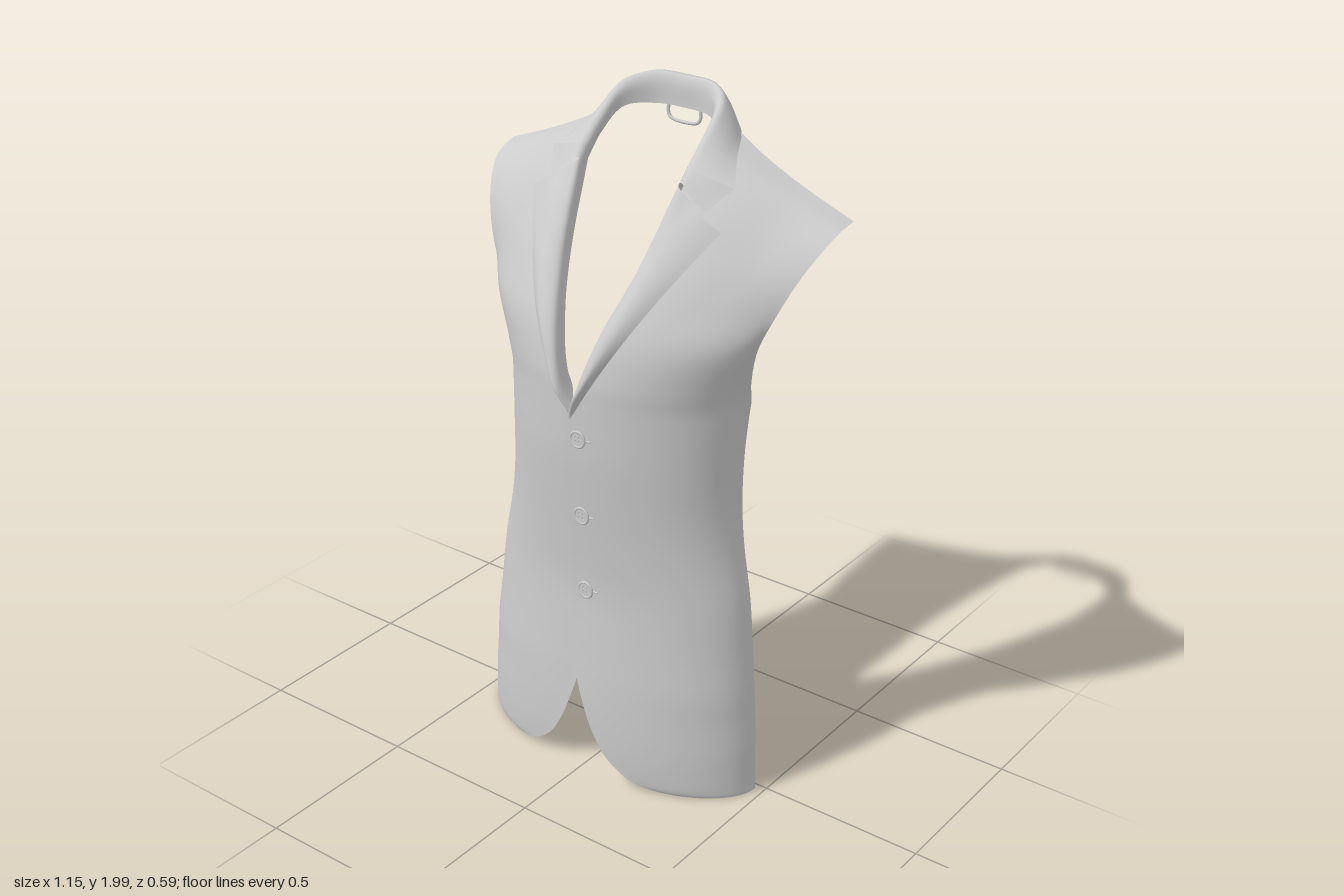
import * as THREE from 'three';

const material = new THREE.MeshStandardMaterial({ color: 0xcccccc, side: THREE.DoubleSide, roughness: 0.8 });
const V = (p) => new THREE.Vector3(...p);

// Smooth surface through rows of points
function loft(name, rows, nu, nv) {
  const across = rows.map((r) => new THREE.CatmullRomCurve3(r.map(V)).getSpacedPoints(nu));
  const positions = [], index = [];
  for (let i = 0; i <= nu; i++) {
    const column = new THREE.CatmullRomCurve3(across.map((r) => r[i]));
    for (const p of column.getPoints(nv)) positions.push(p.x, p.y, p.z);
  }
  for (let i = 0; i < nu; i++) {
    for (let j = 0; j < nv; j++) {
      const a = i * (nv + 1) + j, b = a + nv + 1;
      index.push(a, b, a + 1, b, b + 1, a + 1);
    }
  }
  const geometry = new THREE.BufferGeometry();
  geometry.setAttribute('position', new THREE.Float32BufferAttribute(positions, 3));
  geometry.setIndex(index);
  geometry.computeVertexNormals();
  const mesh = new THREE.Mesh(geometry, material);
  mesh.name = name;
  return mesh;
}

// Mirror in x; tuck pushes the part back near the middle, under the other front
const mirrorRows = (rows, tuck = 0) => rows.map((r) => r.map(([x, y, z]) =>
  [-x, y, z - tuck * Math.max(0, 1 - Math.abs(x) / 0.3)]));

// Body levels: height, front edge x, side x, front z, side z, flatness of the side
const levels = [
  [0.01, 0.3, 0.473, 0.25, 0.02, 1.05],
  [0.018, 0.235, 0.473, 0.255, 0.02, 1.05],
  [0.035, 0.18, 0.472, 0.26, 0.02, 1.05],
  [0.09, 0.11, 0.47, 0.264, 0.02, 1.05],
  [0.16, 0.065, 0.468, 0.265, 0.018, 1.05],
  [0.25, 0.028, 0.462, 0.263, 0.015, 1.05],
  [0.34, 0.0, 0.455, 0.258, 0.012, 1.0],
  [0.45, -0.02, 0.443, 0.25, 0.006, 1.0],
  [0.62, -0.024, 0.422, 0.24, -0.003, 0.95],
  [0.78, -0.024, 0.388, 0.248, -0.015, 0.92],
  [0.9, -0.022, 0.373, 0.257, -0.022, 0.92],
  [1.05, -0.02, 0.373, 0.267, -0.026, 0.98],
  [1.17, -0.004, 0.382, 0.268, -0.03, 1.06],
  [1.22, 0.014, 0.388, 0.268, -0.03, 1.1],
  [1.28, 0.042, 0.4, 0.266, -0.008, 1.18],
  [1.4, 0.085, 0.438, 0.24, 0.022, 1.32],
];

function panelRows() {
  const rows = levels.map(([y, xi, xs, zf, ze, flat]) => {
    const start = Math.asin(xi / xs), row = [];
    for (let k = 0; k <= 8; k++) {
      const a = start + (Math.PI / 2 - start) * k / 8;
      row.push([xs * Math.sin(a), y, ze + (zf - ze) * Math.pow(Math.max(0, Math.cos(a)), flat)]);
    }
    return row;
  });
  // Upper chest and shoulder
  rows.push(
    [[0.122, 1.515, 0.182], [0.24, 1.508, 0.152], [0.37, 1.5, 0.088], [0.48, 1.495, 0.012]],
    [[0.158, 1.65, 0.098], [0.29, 1.635, 0.064], [0.42, 1.62, 0.008], [0.527, 1.605, -0.032]],
    [[0.172, 1.785, 0.0], [0.29, 1.745, -0.012], [0.43, 1.705, -0.06], [0.563, 1.685, -0.1]],
    [[0.18, 1.865, -0.1], [0.295, 1.815, -0.1], [0.43, 1.762, -0.13], [0.573, 1.713, -0.155]],
    [[0.18, 1.905, -0.215], [0.29, 1.845, -0.203], [0.42, 1.785, -0.2], [0.576, 1.724, -0.2]],
  );
  return rows;
}

export function createModel() {
  const group = new THREE.Group();
  const rows = panelRows();
  const leftPanel = loft('leftFrontPanel', rows, 32, 100);
  group.add(leftPanel, loft('rightFrontPanel', mirrorRows(rows, 0.01), 32, 100));

  // Depth of the panel surface under a point of the front
  leftPanel.updateMatrixWorld();
  const ray = new THREE.Raycaster();
  const depth = (x, y) => {
    ray.set(new THREE.Vector3(x, y, 1), new THREE.Vector3(0, 0, -1));
    const hit = ray.intersectObject(leftPanel)[0];
    return hit ? hit.point.z : 0.26;
  };

  // Lapels: lie on the panel between the roll line and the outer edge
  const roll = new THREE.CatmullRomCurve3([[-0.004, 1.18, 0.272], [0.035, 1.28, 0.284],
    [0.08, 1.43, 0.236], [0.126, 1.58, 0.146], [0.166, 1.795, 0.016]].map(V));
  const edge = new THREE.CatmullRomCurve3([[0.004, 1.165, 0], [0.075, 1.285, 0],
    [0.15, 1.415, 0], [0.232, 1.56, 0], [0.313, 1.697, 0]].map(V));
  const lapelRows = [];
  for (let i = 0; i <= 12; i++) {
    const a = roll.getPoint(i / 12), b = edge.getPoint(i / 12);
    const open = Math.min(1, i / 2);
    const puff = open * (0.026 - 0.014 * i / 12);
    const row = [[a.x + 0.003 * open, a.y, a.z - 0.045 * open], [a.x + 0.004 * open, a.y, a.z]];
    for (const s of [0.35, 0.6, 0.8, 1]) {
      const x = a.x + (b.x - a.x) * s, y = a.y + (b.y - a.y) * s;
      row.push([x, y, depth(x, y) + 0.01 + puff * Math.sin(Math.PI * s)]);
    }
    lapelRows.push(row);
  }
  group.add(loft('leftLapel', lapelRows, 24, 48),
    loft('rightLapel', mirrorRows(lapelRows, 0.014), 24, 48));

  // Collar: inner edge, fold and outer edge, from the nape to the collar point
  const half = [
    [[0, 1.91, -0.24], [0, 1.98, -0.243], [0, 2.0, -0.256], [0, 1.975, -0.272], [0, 1.91, -0.296]],
    [[0.085, 1.91, -0.228], [0.09, 1.978, -0.232], [0.1, 1.998, -0.243], [0.108, 1.97, -0.262], [0.12, 1.905, -0.282]],
    [[0.148, 1.905, -0.165], [0.152, 1.955, -0.17], [0.165, 1.972, -0.183], [0.182, 1.945, -0.205], [0.2, 1.89, -0.225]],
    [[0.163, 1.85, -0.085], [0.165, 1.882, -0.082], [0.178, 1.893, -0.082], [0.214, 1.878, -0.095], [0.257, 1.847, -0.125]],
    [[0.164, 1.79, -0.025], [0.165, 1.82, -0.018], [0.177, 1.833, -0.015], [0.235, 1.82, -0.024],
      [0.305, 1.797, depth(0.305, 1.797) + 0.03]],
  ];
  const collarRows = [...mirrorRows(half).slice(1).reverse(), ...half];
  group.add(loft('collar', collarRows, 20, 72));

  // Collar ends running down to the gorge seam and the notch
  const onPanel = (x, y, lift) => [x, y, depth(x, y) + lift];
  const ends = [half[4],
    [[0.164, 1.77, -0.01], [0.165, 1.795, 0.008], [0.176, 1.803, 0.012],
      onPanel(0.22, 1.768, 0.024), onPanel(0.26, 1.743, 0.016)]];
  group.add(loft('leftCollarEnd', ends, 20, 6), loft('rightCollarEnd', mirrorRows(ends), 20, 6));

  // Hanging loop inside the nape
  const loopPath = new THREE.CatmullRomCurve3([[-0.053, 1.92, -0.243], [-0.053, 1.885, -0.243],
    [-0.042, 1.873, -0.242], [0.042, 1.873, -0.242], [0.053, 1.885, -0.243], [0.053, 1.92, -0.243]].map(V));
  const loop = new THREE.Mesh(new THREE.TubeGeometry(loopPath, 40, 0.005, 8), material);
  loop.name = 'hangingLoop';
  group.add(loop);

  // Buttons with rim, four holes, shank and buttonhole
  const face = new THREE.Shape().absarc(0, 0, 0.024, 0, Math.PI * 2);
  for (const x of [-0.006, 0.006]) {
    for (const y of [-0.006, 0.006]) face.holes.push(new THREE.Path().absarc(x, y, 0.003, 0, Math.PI * 2, true));
  }
  const discGeometry = new THREE.ExtrudeGeometry(face, { depth: 0.005, bevelEnabled: false, curveSegments: 16 });
  const rimGeometry = new THREE.TorusGeometry(0.023, 0.004, 8, 28);
  const shankGeometry = new THREE.CylinderGeometry(0.005, 0.005, 0.036, 10).rotateX(Math.PI / 2);
  const holeGeometry = new THREE.CapsuleGeometry(0.003, 0.045, 4, 8).rotateZ(Math.PI / 2);
  for (const y of [1.113, 0.872, 0.628]) {
    const button = new THREE.Group();
    button.name = 'button';
    const parts = [['disc', discGeometry, 0, 0.003], ['rim', rimGeometry, 0, 0.006],
      ['shank', shankGeometry, 0, -0.014], ['buttonhole', holeGeometry, 0.015, 0.001]];
    for (const [name, geometry, x, z] of parts) {
      const mesh = new THREE.Mesh(geometry, material);
      mesh.name = name;
      mesh.position.set(x, 0, z);
      button.add(mesh);
    }
    button.position.set(0.028, y, depth(0.028, y));
    group.add(button);
  }
  return group;
}
